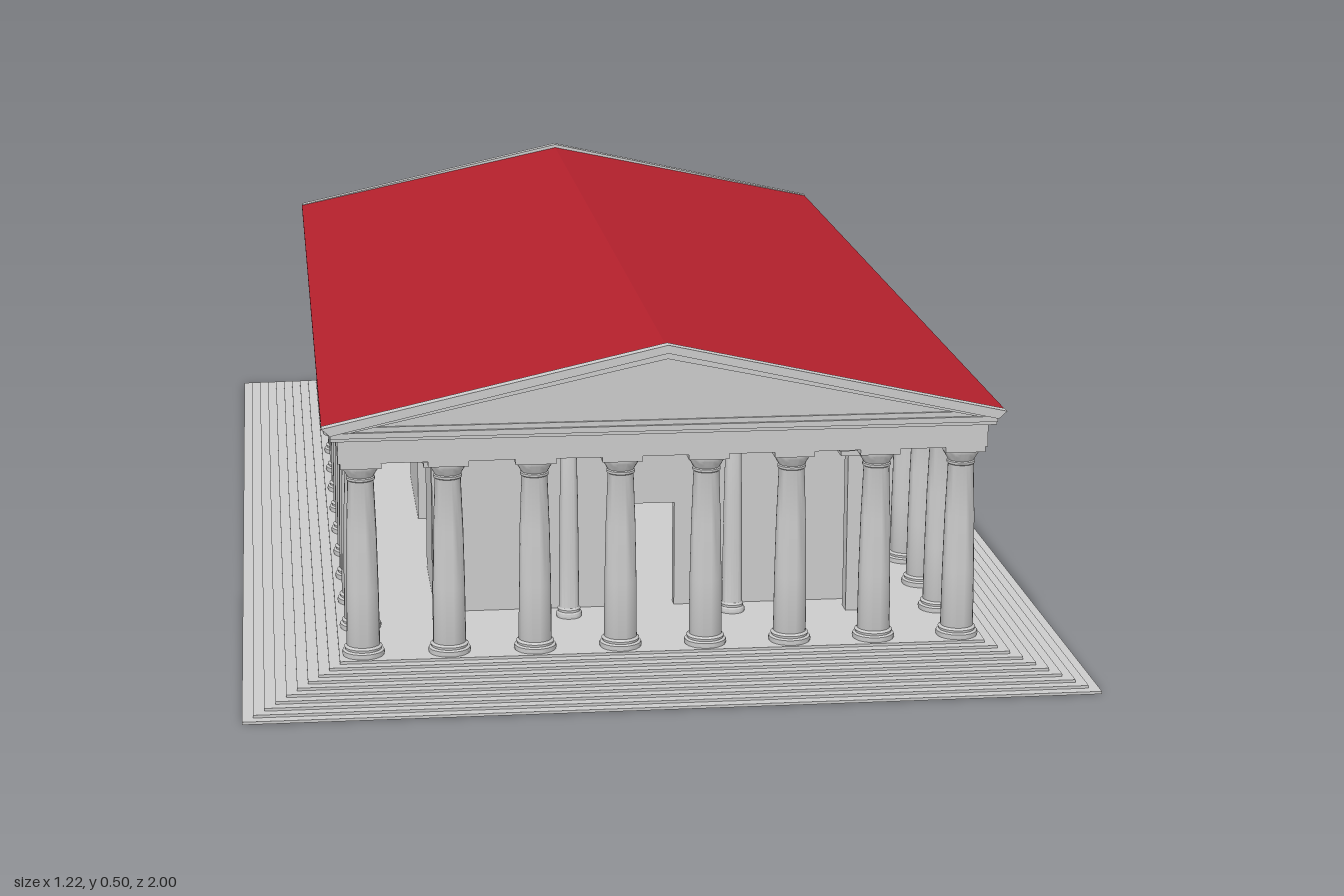
import * as THREE from 'three';
import { toCreasedNormals } from 'three/addons/utils/BufferGeometryUtils.js';

const stone = new THREE.MeshStandardMaterial({ color: 0xcccccc, side: THREE.DoubleSide });
const red = new THREE.MeshStandardMaterial({ color: 0xb3202c });

const FLOOR = 0.04, ARCH = 0.331; // top of platform, underside of entablature

function add(parent, name, geometry, material = stone) {
  const mesh = new THREE.Mesh(geometry, material);
  mesh.name = name;
  parent.add(mesh);
  return mesh;
}

// Box given by its centre in plan, bottom and top heights, and full sizes
function block(parent, name, x, z, y0, y1, w, d) {
  const mesh = add(parent, name, new THREE.BoxGeometry(w, y1 - y0, d));
  mesh.position.set(x, (y0 + y1) / 2, z);
  return mesh;
}

function polygon(points, Type = THREE.Shape) {
  return new Type(points.map(([x, y]) => new THREE.Vector2(x, y)));
}

const rect = (hx, hz) => [[-hx, -hz], [hx, -hz], [hx, hz], [-hx, hz]];

// Hollow stepped platform made of rectangular rings with a floor slab on top
function createPlatform() {
  const g = new THREE.Group();
  g.name = 'platform';
  const steps = 10, h = FLOOR / steps, run = 0.14 / (steps - 1);
  for (let i = 0; i < steps - 1; i++) {
    const hx = 0.61 - i * run, hz = 1 - i * run;
    const shape = polygon(rect(hx, hz));
    shape.holes.push(polygon(rect(hx - run * 1.05, hz - run * 1.05), THREE.Path));
    const geo = new THREE.ExtrudeGeometry(shape, { depth: h, bevelEnabled: false });
    geo.rotateX(-Math.PI / 2).translate(0, i * h, 0);
    add(g, 'step', geo);
  }
  block(g, 'floor', 0, 0, FLOOR - h, FLOOR, 0.94, 1.72);
  return g;
}

// Tapered shaft with moulded foot and flared capital; r is the foot radius of the shaft
function columnGeometry(r) {
  const H = ARCH - 0.008 - FLOOR;
  const profile = [
    [0, 0], [1.25, 0], [1.3, 0.012], [1.25, 0.025], [1.1, 0.032], [1.15, 0.045], [1.0, 0.055],
    [0.97, 0.35], [0.9, 0.65], [0.78, 0.92], [0.86, 0.925], [0.86, 0.937], [0.8, 0.942],
    [0.95, 0.965], [1.1, 0.985], [1.1, 1], [0, 1],
  ].map(([x, y]) => new THREE.Vector2(x * r, y * H));
  return toCreasedNormals(new THREE.LatheGeometry(profile, 24), 0.7);
}

function createColumns() {
  const g = new THREE.Group();
  g.name = 'columns';
  const outer = columnGeometry(0.024), inner = columnGeometry(0.015);
  const place = (name, geo, x, z, plate) => {
    add(g, name, geo).position.set(x, FLOOR, z);
    block(g, 'abacus', x, z, ARCH - 0.008, ARCH, plate, plate);
  };
  // Eight across each end and fourteen along each side, sharing the corners
  for (const s of [-1, 1]) {
    for (let i = 0; i < 8; i++) place('endColumn', outer, -0.435 + (i * 0.87) / 7, s * 0.826, 0.058);
    for (let i = 1; i < 13; i++) place('sideColumn', outer, s * 0.435, -0.826 + (i * 1.652) / 13, 0.058);
    for (const x of [-0.123, 0.123]) place('porchColumn', inner, x, s * 0.68, 0.036);
  }
  return g;
}

// Inner chamber: doorways in both ends, two doorways in each side
function createChamber() {
  const g = new THREE.Group();
  g.name = 'chamber';
  const foot = FLOOR - 0.008, door = 0.2, t = 0.022;
  for (const s of [-1, 1]) {
    block(g, 'sideWallMiddle', s * 0.31, 0, foot, door, t, 0.27);
    block(g, 'sideWallUpper', s * 0.31, 0, door, ARCH, t, 1.38);
    block(g, 'endWallUpper', 0, s * 0.63, door, ARCH, 0.62, t);
    for (const k of [-1, 1]) {
      block(g, 'sideWallEnd', s * 0.31, k * 0.545, foot, door, t, 0.29);
      block(g, 'endWall', k * 0.175, s * 0.63, foot, door, 0.27, t);
      // Pilaster capping the projecting end of a side wall
      block(g, 'pilaster', k * 0.31, s * 0.685, FLOOR, ARCH, 0.034, 0.028);
      block(g, 'pilasterBand', k * 0.31, s * 0.685, 0.282, 0.29, 0.058, 0.04);
      block(g, 'pilasterCapital', k * 0.31, s * 0.685, 0.29, 0.302, 0.064, 0.046);
    }
  }
  return g;
}

function createEntablature() {
  const g = new THREE.Group();
  g.name = 'entablature';
  block(g, 'architrave', 0, 0, ARCH, 0.366, 0.935, 1.71);
  block(g, 'frieze', 0, 0, 0.366, 0.377, 0.955, 1.73);
  block(g, 'cornice', 0, 0, 0.377, 0.387, 0.965, 1.735);
  return g;
}

function createRoof() {
  const g = new THREE.Group();
  g.name = 'roof';
  const prism = (shape, z0, z1) =>
    new THREE.ExtrudeGeometry(shape, { depth: z1 - z0, bevelEnabled: false }).translate(0, 0, z0);

  add(g, 'roofCovering', prism(polygon([[-0.49, 0.383], [0.49, 0.383], [0.49, 0.387], [0, 0.491], [-0.49, 0.387]]), -0.86, 0.86), red);

  // Gable ends: recessed triangle with stepped raking mouldings in front
  const rake = (x, top, drop) => polygon([
    [-x, 0.388], [-x + 0.012, 0.377], [0, top - drop], [x - 0.012, 0.377], [x, 0.388], [0, top],
  ]);
  for (const s of [-1, 1]) {
    const end = new THREE.Group();
    end.name = 'gableEnd';
    add(end, 'gablePanel', prism(polygon([[-0.475, 0.38], [0.475, 0.38], [0, 0.486]]), 0.855, 0.864));
    add(end, 'rakingCornice', prism(rake(0.49, 0.497, 0.012), 0.858, 0.875));
    add(end, 'rakingMoulding', prism(rake(0.475, 0.488, 0.012), 0.858, 0.87));
    block(end, 'gableSill', 0, 0.865, 0.372, 0.38, 0.955, 0.014);
    end.rotation.y = s > 0 ? 0 : Math.PI;
    g.add(end);
  }
  return g;
}

export function createModel() {
  const model = new THREE.Group();
  model.name = 'temple';
  model.add(createPlatform(), createColumns(), createChamber(), createEntablature(), createRoof());
  return model;
}
